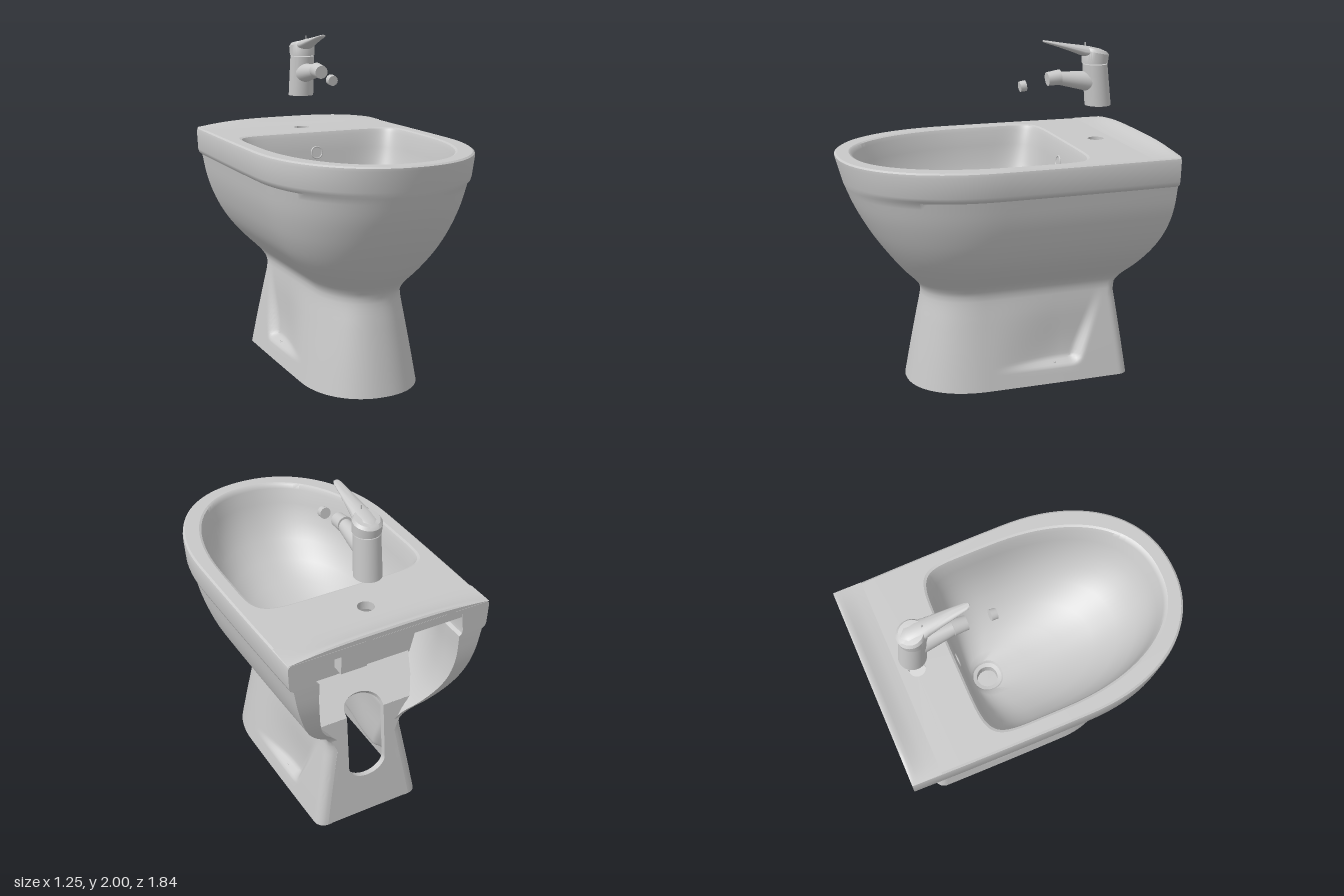
import * as THREE from 'three';
import { toCreasedNormals } from 'three/addons/utils/BufferGeometryUtils.js';

const V = (x, y, z) => new THREE.Vector3(x, y, z);
const step = (x, a, b) => THREE.MathUtils.smoothstep(x, a, b);
const power = (v, e) => Math.sign(v) * Math.abs(v) ** e;
const ceramic = new THREE.MeshStandardMaterial({ color: 0xc8c8c8, side: THREE.DoubleSide });
ceramic.name = 'grey ceramic';

// Skin over rows of points
function loft(rows, closed = false, crease = 0.6) {
  const n = rows[0].length, pos = [], idx = [];
  rows.forEach(r => r.forEach(p => pos.push(p.x, p.y, p.z)));
  for (let j = 0; j < rows.length - 1; j++) {
    for (let i = 0; i < (closed ? n : n - 1); i++) {
      const k = (i + 1) % n, a = j * n + i, b = j * n + k;
      idx.push(a, a + n, b, b, a + n, b + n);
    }
  }
  const g = new THREE.BufferGeometry();
  g.setAttribute('position', new THREE.Float32BufferAttribute(pos, 3));
  g.setIndex(idx);
  return toCreasedNormals(g, crease);
}

// Smooth interpolation of key rows whose first entry is the parameter
function sample(keys, t) {
  let i = 0;
  while (i < keys.length - 2 && t > keys[i + 1][0]) i++;
  const k0 = keys[Math.max(i - 1, 0)], k1 = keys[i], k2 = keys[i + 1], k3 = keys[Math.min(i + 2, keys.length - 1)];
  const h = k2[0] - k1[0], u = (t - k1[0]) / h;
  return k1.map((_, c) => {
    const m1 = (k2[c] - k0[c]) / (k2[0] - k0[0]) * h, m2 = (k3[c] - k1[c]) / (k3[0] - k1[0]) * h;
    return (2 * u ** 3 - 3 * u * u + 1) * k1[c] + (u ** 3 - 2 * u * u + u) * m1
      + (3 * u * u - 2 * u ** 3) * k2[c] + (u ** 3 - u * u) * m2;
  });
}

// Outer body: height, half width, front z, back z
const BODY = [
  [0, 0.345, 0.54, -0.765], [0.2, 0.31, 0.504, -0.742], [0.4, 0.273, 0.466, -0.718], [0.52, 0.251, 0.443, -0.703],
  [0.57, 0.248, 0.443, -0.698], [0.62, 0.276, 0.475, -0.714], [0.7, 0.355, 0.553, -0.77], [0.8, 0.438, 0.634, -0.828],
  [0.9, 0.496, 0.707, -0.874], [1.0, 0.537, 0.769, -0.903], [1.1, 0.567, 0.822, -0.916], [1.225, 0.592, 0.874, -0.92],
];
const RIM = [[1.24, 0.612, 0.879, -0.92], [1.26, 0.619, 0.884, -0.92], [1.375, 0.625, 0.917, -0.92],
  [1.392, 0.621, 0.919, -0.92], [1.4, 0.61, 0.908, -0.92]];
const ZC = 0.12;

// Hollow pressed into each side of the pedestal
function recess(y, z) {
  const edge = -0.4 - 0.4 * (y - 0.12);
  return 0.052 * step(-z, -0.1, 0.35) * step(z, edge - 0.07, edge) * step(y, 0.09, 0.14) * (1 - step(y, 0.14, 0.56));
}

// Horseshoe section, open at the back, with rounded pedestal corners
function horseshoe([y, a, zf, zb], inner) {
  const pts = [], side = [], r = 0.06 * (1 - step(y, 0.5, 0.62));
  const put = (x, z) => {
    x -= Math.sign(x) * recess(y, z);
    if (inner) {
      const thick = 0.035 + 0.13 * Math.max(0, (y - 0.6) / 0.7) * step(-z, 0.45, 0.8);
      x *= 1 - thick / a;
      if (z > ZC) z = ZC + (z - ZC) * (1 - 0.035 / (zf - ZC));
    }
    return V(x, y, z);
  };
  for (let i = 0; i < 56; i++) {
    const u = (i / 56) ** 1.4, d = (ZC - zb) * u, q = Math.max(0, r - d);
    side.push([a * (1 - 0.025 * (1 - u) ** 2) - r + Math.sqrt(r * r - q * q), zb + d]);
  }
  side.forEach(([x, z]) => pts.push(put(x, z)));
  for (let i = 0; i <= 48; i++) {
    const t = Math.PI * i / 48;
    pts.push(put(a * power(Math.cos(t), 0.92), ZC + (zf - ZC) * power(Math.sin(t), 0.92)));
  }
  side.reverse().forEach(([x, z]) => pts.push(put(-x, z)));
  return pts;
}

// Closed basin section: rounded front, squarer back
function basinLoop([y, a, zf, zc, zb, n]) {
  return Array.from({ length: 96 }, (_, i) => {
    const t = i / 48 * Math.PI, c = Math.cos(t), s = Math.sin(t);
    const e = s >= 0 ? 0.9 : 2 / n;
    return V(a * power(c, e), y, zc + (s >= 0 ? zf - zc : zc - zb) * power(s, e));
  });
}

const flat = pts => pts.map(p => new THREE.Vector2(p.x, -p.z));
const plate = (shape, depth) => new THREE.ExtrudeGeometry(shape, { depth, bevelEnabled: false, curveSegments: 24 });

export function createModel() {
  const model = new THREE.Group();
  const add = (name, geo, parent = model) => {
    const m = new THREE.Mesh(geo, ceramic);
    m.name = name;
    parent.add(m);
    return m;
  };
  // Round bar between two points
  const rod = (name, a, b, ra, rb, parent, open = false) => {
    const d = b.clone().sub(a);
    const m = add(name, new THREE.CylinderGeometry(rb, ra, d.length(), 32, 1, open), parent);
    m.position.copy(a).add(b).multiplyScalar(0.5);
    m.quaternion.setFromUnitVectors(V(0, 1, 0), d.normalize());
  };

  // Body shell with its inner wall
  const ys = [0, 0.05, 0.085, 0.095, 0.105, 0.115, 0.125, 0.135, 0.15];
  for (let y = 0.17; y < 1.22; y += 0.03) ys.push(y);
  const levels = ys.map(y => sample(BODY, y)).concat([BODY[BODY.length - 1]], RIM);
  const outer = levels.map(l => horseshoe(l, false));
  const inner = levels.filter(l => l[0] < 1.38).map(l => horseshoe(l, true));
  add('bodyShell', loft([...inner].reverse().concat(outer)));
  for (const i of [0, outer[0].length - 1]) {
    const o = outer.map(r => r[i]);
    add('shellBackEdge', loft([o, o.map((p, j) => inner[Math.min(j, inner.length - 1)][i].clone().setY(p.y))]));
  }

  // Rim surface with basin opening and tap hole
  const BASIN = [
    [1.4, 0.545, 0.838, 0, -0.45, 7], [1.394, 0.532, 0.825, 0, -0.438, 7], [1.37, 0.522, 0.813, 0, -0.428, 7],
    [1.28, 0.51, 0.787, 0, -0.415, 6], [1.18, 0.49, 0.74, 0, -0.403, 5], [1.08, 0.455, 0.67, -0.02, -0.392, 4.2],
    [0.99, 0.4, 0.565, -0.05, -0.382, 3.5], [0.91, 0.32, 0.42, -0.1, -0.372, 2.9], [0.85, 0.225, 0.22, -0.17, -0.362, 2.4],
    [0.815, 0.14, 0, -0.22, -0.352, 2.1], [0.8, 0.095, -0.155, -0.25, -0.345, 2],
    [0.785, 0.085, -0.165, -0.25, -0.335, 2], [0.78, 0.062, -0.188, -0.25, -0.312, 2], [0.72, 0.06, -0.19, -0.25, -0.31, 2],
    [0.72, 0.001, -0.249, -0.25, -0.251, 2],
  ];
  const tapHole = () => new THREE.Path().absarc(0, 0.65, 0.048, 0, Math.PI * 2, true);
  const rim = new THREE.Shape(flat(outer[outer.length - 1]));
  rim.holes.push(new THREE.Path(flat(basinLoop(BASIN[0]))), tapHole());
  const rimMesh = add('rimSurface', new THREE.ShapeGeometry(rim, 24));
  rimMesh.rotation.x = -Math.PI / 2;
  rimMesh.position.y = 1.4;

  // Tap deck slab at the back
  const slab = new THREE.Shape();
  slab.moveTo(-0.59, 0.47).lineTo(0.59, 0.47).lineTo(0.59, 0.918).lineTo(-0.59, 0.918);
  slab.holes.push(tapHole());
  const slabMesh = add('tapDeck', plate(slab, 0.049));
  slabMesh.rotation.x = -Math.PI / 2;
  slabMesh.position.y = 1.35;

  // Raised lip along the back of the deck
  const lip = [[-0.75, 0], [-0.8, 0.005], [-0.85, 0.016], [-0.88, 0.03], [-0.9, 0.037], [-0.912, 0.037], [-0.92, 0.028], [-0.92, 0]];
  add('deckBackLip', loft(lip.map(([z, h]) => Array.from({ length: 33 }, (_, i) => {
    const u = i / 16 - 1;
    return V(0.608 * u, 1.401 + h * (1 - Math.abs(u) ** 3), z);
  }))));

  // Basin bowl, drain and overflow
  add('basin', loft(BASIN.map(basinLoop), true, 0.7));
  const ring = add('overflowRing', new THREE.TorusGeometry(0.036, 0.005, 10, 32));
  ring.position.set(0, 1.27, -0.412);
  const disc = add('overflowDisc', new THREE.CircleGeometry(0.036, 32));
  disc.position.set(0, 1.27, -0.411);
  disc.rotation.x = ring.rotation.x = -0.12;

  // Pedestal back wall with the lower part of the pipe slot
  const wall = new THREE.Shape();
  wall.moveTo(-0.278, 0).lineTo(0.278, 0).lineTo(0.19, 0.5).lineTo(0.225, 0.58).lineTo(0.31, 0.7);
  wall.lineTo(0.12, 0.7).lineTo(0.12, 0.345);
  wall.absellipse(0, 0.345, 0.12, 0.09, 0, Math.PI, true);
  wall.lineTo(-0.12, 0.7).lineTo(-0.31, 0.7).lineTo(-0.225, 0.58).lineTo(-0.19, 0.5);
  const wallMesh = add('pedestalBackWall', plate(wall, 0.035));
  wallMesh.position.z = -0.763;
  wallMesh.rotation.x = Math.atan(0.067 / 0.6);

  // Sloping shelf under the basin with the upper part of the slot
  const shelf = new THREE.Shape();
  shelf.moveTo(-0.315, 0).lineTo(-0.12, 0).lineTo(-0.12, 0.03);
  shelf.absellipse(0, 0.03, 0.12, 0.09, Math.PI, 0, true);
  shelf.lineTo(0.12, 0).lineTo(0.315, 0).lineTo(0.42, 0.28).lineTo(-0.42, 0.28);
  const shelfMesh = add('innerShelf', plate(shelf, 0.03));
  shelfMesh.position.set(0, 0.696, -0.685);
  shelfMesh.rotation.x = Math.atan2(0.23, 0.16);

  // Wall behind the basin and overflow channel
  const rear = new THREE.Shape();
  rear.moveTo(-0.42, 0.83).lineTo(0.42, 0.83).lineTo(0.55, 1.36).lineTo(-0.55, 1.36);
  add('basinRearWall', plate(rear, 0.015)).position.z = -0.475;
  add('overflowChannel', new THREE.BoxGeometry(0.17, 0.46, 0.08)).position.set(0, 1.13, -0.51);

  // Fixing bosses in the side hollows
  for (const s of [-1, 1]) rod('fixingBoss', V(s * 0.292, 0.08, -0.3), V(s * 0.292, 0.118, -0.3), 0.011, 0.011, model, true);

  // Tap
  const tap = new THREE.Group();
  tap.name = 'tap';
  model.add(tap);
  const circle = (r, zc, f) => Array.from({ length: 40 }, (_, i) => {
    const t = i / 20 * Math.PI, z = zc + r * Math.sin(t);
    return V(r * Math.cos(t), f(z), z);
  });
  add('tapBody', loft([circle(0.001, -0.657, () => 1.605), circle(0.078, -0.657, () => 1.605),
    circle(0.074, -0.633, () => 1.85), circle(0.001, -0.633, () => 1.85)], true), tap);
  const tilt = (h, k) => z => h + k * (z + 0.63);
  add('tapCap', loft([circle(0.001, -0.632, () => 1.856), circle(0.077, -0.632, () => 1.856),
    circle(0.08, -0.635, tilt(1.92, 0.2)), circle(0.068, -0.633, tilt(1.937, 0.24)),
    circle(0.001, -0.63, tilt(1.942, 0.24))], true), tap);

  // Lever: z, top, bottom, half width
  const LEVER = [[-0.69, 1.925, 1.915, 0.01], [-0.66, 1.938, 1.9, 0.05], [-0.6, 1.953, 1.885, 0.062], [-0.55, 1.962, 1.9, 0.052],
    [-0.48, 1.972, 1.928, 0.042], [-0.4, 1.985, 1.957, 0.032], [-0.33, 1.997, 1.98, 0.024], [-0.31, 2.0, 1.988, 0.015], [-0.308, 1.996, 1.994, 0.002]];
  add('tapLever', loft(LEVER.map(([z, t, b, w]) => Array.from({ length: 24 }, (_, i) => {
    const a = i / 12 * Math.PI;
    return V(w * Math.cos(a), (t + b) / 2 + (t - b) / 2 * Math.sin(a), z);
  })), true, 0.9), tap);
  rod('leverPin', V(0, 1.945, -0.57), V(0, 1.98, -0.57), 0.004, 0.004, tap);

  // Spout, its nozzle and the loose aerator in front
  rod('spout', V(0, 1.745, -0.62), V(0, 1.776, -0.4), 0.062, 0.038, tap);
  rod('spoutNozzle', V(0, 1.781, -0.415), V(0, 1.773, -0.335), 0.045, 0.04, tap);
  rod('aerator', V(0, 1.741, -0.202), V(0, 1.736, -0.166), 0.032, 0.03, tap);
  return model;
}
